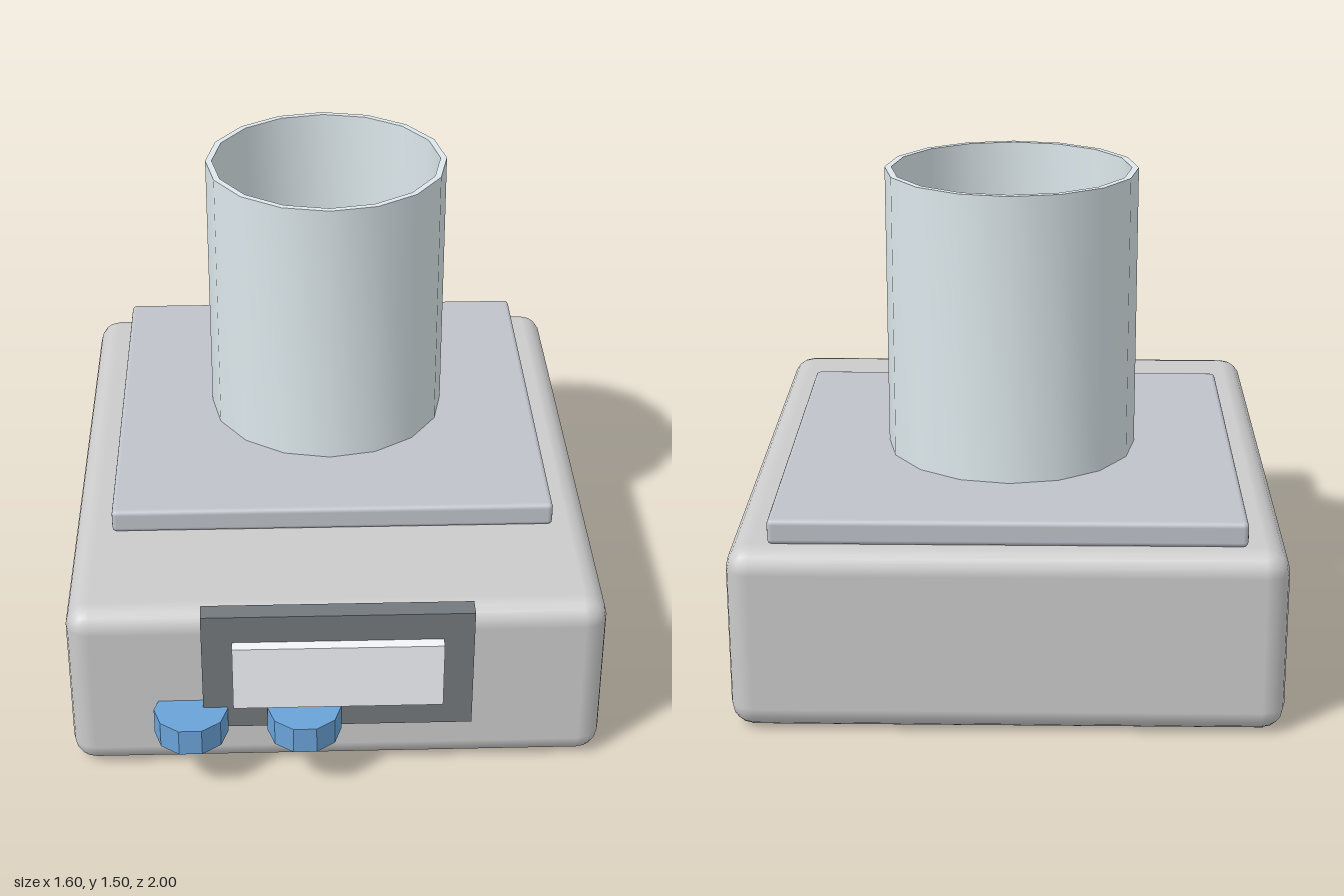
import * as THREE from 'three';
import { toCreasedNormals } from 'three/addons/utils/BufferGeometryUtils.js';
import { RoundedBoxGeometry } from 'three/addons/geometries/RoundedBoxGeometry.js';

const mat = (color) => new THREE.MeshStandardMaterial({ color });

export function createModel() {
  const model = new THREE.Group();
  const grey = mat(0xcccccc);
  const dark = mat(0x74797d);
  const blue = mat(0x6aa3d8);

  const add = (name, geometry, material, x = 0, y = 0, z = 0) => {
    const mesh = new THREE.Mesh(geometry, material);
    mesh.name = name;
    mesh.position.set(x, y, z);
    model.add(mesh);
    return mesh;
  };

  // Box given by its min and max corners, rounded when a radius is set
  const box = (name, [x0, y0, z0], [x1, y1, z1], material, radius = 0) => {
    const size = [x1 - x0, y1 - y0, z1 - z0];
    const geometry = radius
      ? new RoundedBoxGeometry(...size, 2, radius)
      : new THREE.BoxGeometry(...size);
    add(name, geometry, material, (x0 + x1) / 2, (y0 + y1) / 2, (z0 + z1) / 2);
  };

  // Housing with a dark underside, and the weighing plate on top
  box('housing', [-0.8, 0.004, -1], [0.8, 0.56, 0.855], grey, 0.07);
  box('undersidePanel', [-0.74, 0, -0.94], [0.74, 0.03, 0.795], dark);
  box('weighingPlate', [-0.68, 0.56, -0.94], [0.68, 0.635, 0.42], mat(0xbfc3ca), 0.015);

  // Display on the front
  box('displayFrame', [-0.4, 0.175, 0.83], [0.4, 0.575, 0.89], dark);
  box('displayScreen', [-0.31, 0.27, 0.88], [0.31, 0.485, 0.925], mat(0xf4f5f9));

  // Two ten-sided buttons
  for (const x of [-0.437, -0.1]) {
    const geometry = new THREE.CylinderGeometry(0.11, 0.11, 0.085, 10).toNonIndexed();
    geometry.rotateY(Math.PI / 10);
    geometry.computeVertexNormals();
    add('button', geometry, blue, x, 0.205, 0.895);
  }

  // Open beaker with a thin wall
  const wall = [[0, 0.635], [0.38, 0.635], [0.38, 1.5], [0.36, 1.5], [0.36, 0.66], [0, 0.66]]
    .map(([r, y]) => new THREE.Vector2(r, y));
  add('beaker', toCreasedNormals(new THREE.LatheGeometry(wall, 16), 0.7), mat(0xdde8ec), 0, 0, -0.26);

  // Liquid, softly shaded towards its rim
  const fill = [[0.36, 0.66], [0.36, 1.0], [0, 1.0]].map(([r, y]) => new THREE.Vector2(r, y));
  add('liquid', new THREE.LatheGeometry(fill, 16), mat(0xb0dde3), 0, 0, -0.26);

  return model;
}
